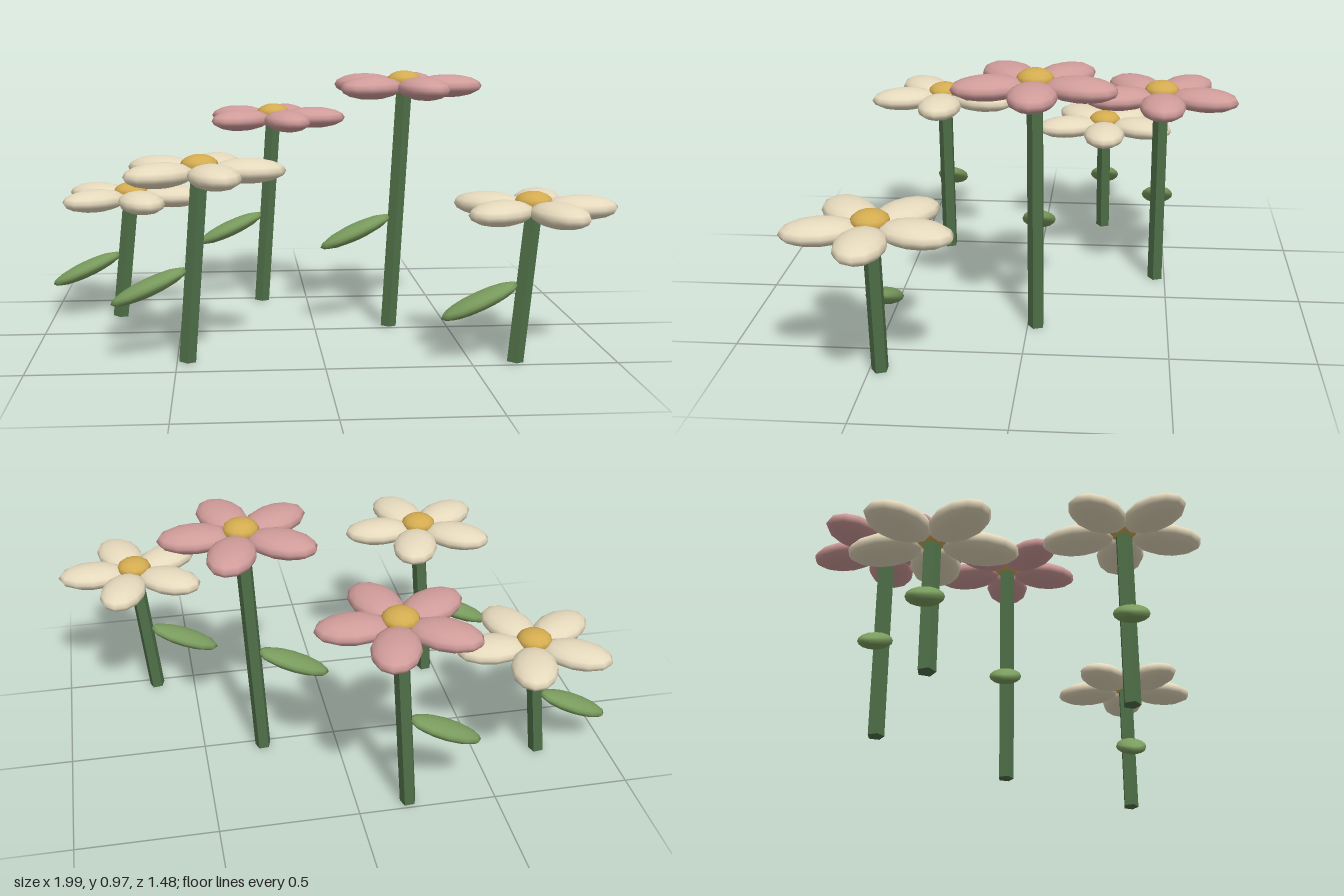
import * as THREE from 'three';

const mat = (name, color, flatShading = false) => {
  const m = new THREE.MeshStandardMaterial({ color, flatShading });
  m.name = name;
  return m;
};

export function createModel() {
  const cream = mat('cream petal', 0xe6dabd);
  const pink = mat('pink petal', 0xd09c9a);
  const gold = mat('golden centre', 0xd4ac50);
  const leafGreen = mat('leaf green', 0x7a9c5e);
  const stemGreen = mat('stem green', 0x4f7048, true);

  // Ellipsoids shared by all flowers
  const ellipsoid = (rx, ry, rz) => new THREE.SphereGeometry(1, 12, 8).scale(rx, ry, rz);
  const petalGeo = ellipsoid(0.13, 0.042, 0.084).translate(0.16, 0, 0);
  const centreGeo = ellipsoid(0.065, 0.037, 0.065);
  const leafGeo = ellipsoid(0.145, 0.03, 0.06);

  const LEAN = 0.05; // sideways offset from foot to head

  function flower(x, z, height, petalMat) {
    const g = new THREE.Group();
    g.name = 'flower';
    g.position.set(x, 0, z);
    const add = (name, geo, material, px, py) => {
      const m = new THREE.Mesh(geo, material);
      m.name = name;
      m.position.set(px, py, 0);
      g.add(m);
      return m;
    };

    // Leaning five-sided stem
    const length = Math.hypot(LEAN, height);
    const stem = add('stem', new THREE.CylinderGeometry(0.03, 0.03, length, 5), stemGreen, LEAN / 2, height / 2);
    stem.rotation.z = -Math.atan2(LEAN, height);

    // Leaf drooping away from the stem
    add('leaf', leafGeo, leafGreen, -0.125, height * 0.4).rotation.z = 0.43;

    // Ring of five petals around a domed centre
    for (let i = 0; i < 5; i++) {
      add('petal', petalGeo, petalMat, LEAN, height).rotation.y = (i * Math.PI * 2) / 5;
    }
    add('flowerCentre', centreGeo, gold, LEAN, height + 0.02);
    return g;
  }

  const model = new THREE.Group();
  model.name = 'flowerPatch';
  // Foot x, foot z, head height, petal colour
  [
    [-0.742, -0.248, 0.47, cream],
    [-0.185, -0.465, 0.75, pink],
    [0.28, -0.032, 0.905, pink],
    [-0.464, 0.385, 0.655, cream],
    [0.65, 0.463, 0.53, cream],
  ].forEach((f) => model.add(flower(...f)));
  return model;
}
